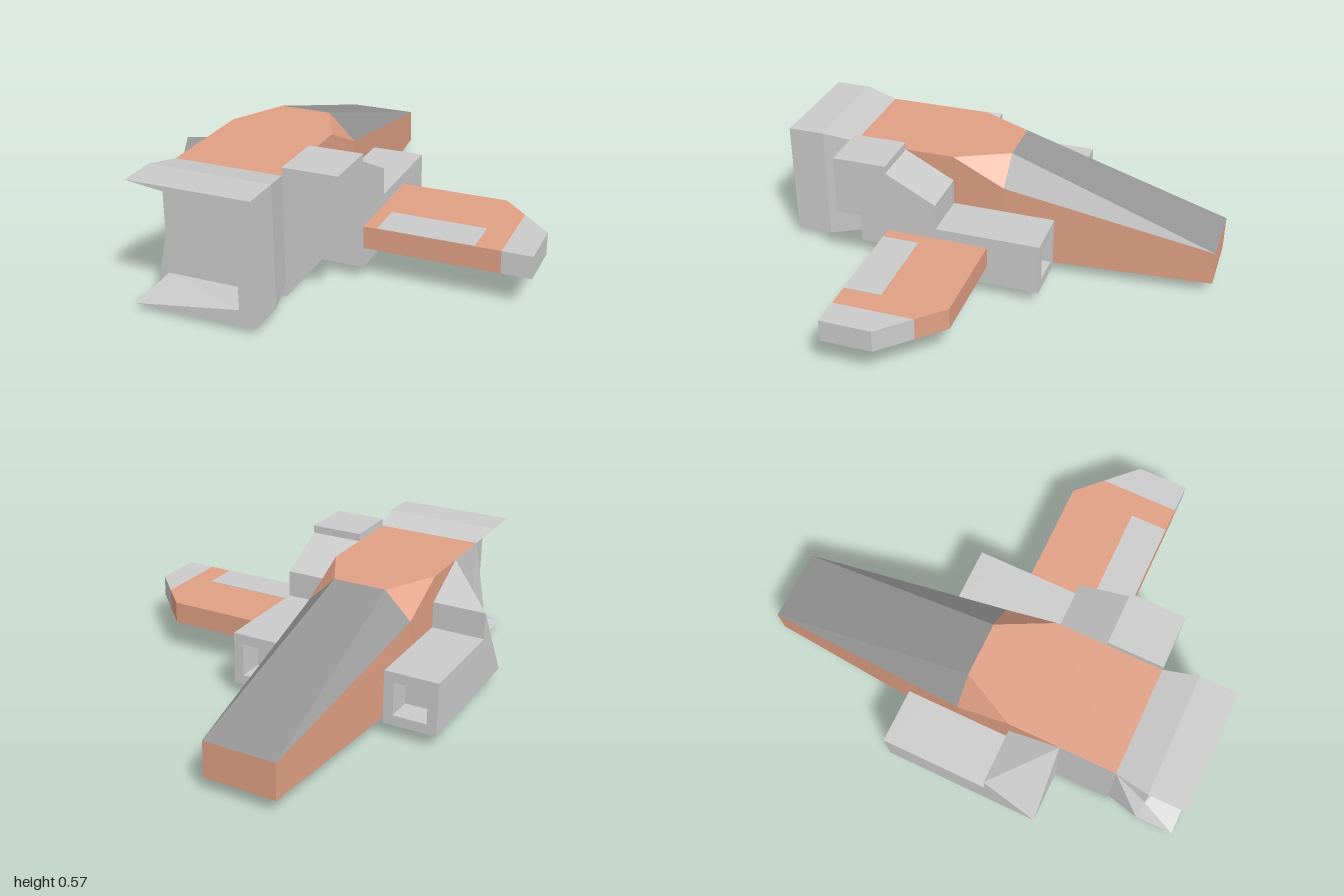
import * as THREE from 'three';

const mat = (color, side = THREE.FrontSide) => new THREE.MeshStandardMaterial({ color, side, flatShading: true });
const GREY = mat(0xcccccc), OPEN = mat(0xcccccc, THREE.DoubleSide);
const ORANGE = mat(0xe0a085), GLASS = mat(0x959595);
const HULL_X = -0.36;

// Flat mesh from convex polygons, each a loop of [x, y, z] corners
function panels(name, material, polys) {
  const pos = [];
  for (const p of polys)
    for (let i = 1; i < p.length - 1; i++) pos.push(...p[0], ...p[i], ...p[i + 1]);
  const g = new THREE.BufferGeometry();
  g.setAttribute('position', new THREE.Float32BufferAttribute(pos, 3));
  g.computeVertexNormals();
  const m = new THREE.Mesh(g, material);
  m.name = name;
  return m;
}

// Adds the mirror image (x -> -x) of every polygon
const mirrored = polys => polys.concat(polys.map(p => p.map(([x, y, z]) => [-x, y, z]).reverse()));

// Box from its two extreme corners
function box(name, material, [x0, y0, z0], [x1, y1, z1]) {
  const m = new THREE.Mesh(new THREE.BoxGeometry(x1 - x0, y1 - y0, z1 - z0), material);
  m.position.set((x0 + x1) / 2, (y0 + y1) / 2, (z0 + z1) / 2);
  m.name = name;
  return m;
}

// Side profile of [z, y] points, extruded along x from x0 to x1
function sideExtrude(name, material, pts, x0, x1) {
  const s = new THREE.Shape(pts.map(([z, y]) => new THREE.Vector2(-z, y)));
  const g = new THREE.ExtrudeGeometry(s, { depth: x1 - x0, bevelEnabled: false });
  g.rotateY(Math.PI / 2).translate(x0, 0, 0);
  const m = new THREE.Mesh(g, material);
  m.name = name;
  return m;
}

// Plan outline of [x, z] points, extruded upward from y0 to y1
function planExtrude(name, material, pts, y0, y1) {
  const s = new THREE.Shape(pts.map(([x, z]) => new THREE.Vector2(x, -z)));
  const g = new THREE.ExtrudeGeometry(s, { depth: y1 - y0, bevelEnabled: false });
  g.rotateX(-Math.PI / 2).translate(0, y0, 0);
  const m = new THREE.Mesh(g, material);
  m.name = name;
  return m;
}

// Engine pod with a square opening at its rear
function pod(name, x, frontZ) {
  const g = new THREE.Group();
  g.name = name;
  const square = (P, r) => new P([[-r, -r], [r, -r], [r, r], [-r, r]].map(p => new THREE.Vector2(...p)));
  const s = square(THREE.Shape, 0.12);
  s.holes.push(square(THREE.Path, 0.075));
  const rim = new THREE.Mesh(new THREE.ExtrudeGeometry(s, { depth: 0.12, bevelEnabled: false }), GREY);
  rim.position.set(x, 0.18, -0.28);
  rim.name = 'podRim';
  g.add(rim, box('podBody', GREY, [x - 0.12, 0.06, -0.16], [x + 0.12, 0.3, frontZ]));
  return g;
}

function hull() {
  const g = new THREE.Group();
  g.name = 'hull';
  g.position.x = HULL_X;
  g.add(panels('hullSides', ORANGE, mirrored([
    [[0.24, 0.06, 0.43], [0.24, 0.06, -0.04], [0.24, 0.42, -0.04], [0.24, 0.54, 0.2], [0.24, 0.54, 0.43]],
    [[0.24, 0.54, 0.2], [0.24, 0.42, -0.04], [0.12, 0.54, -0.04]],
    [[0.24, 0.06, -0.04], [0.16, 0.06, -1], [0.16, 0.22, -1], [0.24, 0.42, -0.04]],
  ])));
  g.add(panels('hullRoofAndNoseTip', ORANGE, [
    [[-0.24, 0.54, 0.68], [0.24, 0.54, 0.68], [0.24, 0.54, 0.2], [0.12, 0.54, -0.04], [-0.12, 0.54, -0.04], [-0.24, 0.54, 0.2]],
    [[0.16, 0.06, -1], [-0.16, 0.06, -1], [-0.16, 0.22, -1], [0.16, 0.22, -1]],
  ]));
  g.add(panels('frontSidePanels', GREY, mirrored([
    [[0.24, 0.06, 0.68], [0.24, 0.06, 0.43], [0.24, 0.54, 0.43], [0.24, 0.54, 0.68]],
  ])));
  g.add(panels('noseUnderside', GREY, [
    [[-0.24, 0.06, -0.04], [-0.16, 0.06, -1], [0.16, 0.06, -1], [0.24, 0.06, -0.04]],
  ]));
  g.add(panels('canopy', GLASS, [
    [[-0.12, 0.54, -0.04], [0.12, 0.54, -0.04], [0.16, 0.22, -1], [-0.16, 0.22, -1]],
    ...mirrored([[[0.24, 0.42, -0.04], [0.16, 0.22, -1], [0.12, 0.54, -0.04]]]),
  ]));
  g.add(sideExtrude('belly', GREY, [[0.68, 0], [0.13, 0], [-0.04, 0.06], [0.68, 0.06]], -0.24, 0.24));
  return g;
}

// Flared front intake whose right-hand wall (-x) is caved in
function intake() {
  // Corner loops: top left, bottom left, bottom right, top right
  const ring = (x0, x1, y0, y1, z) => [[x1, y1, z], [x1, y0, z], [x0, y0, z], [x0, y1, z]];
  const a = ring(-0.24, 0.24, 0.06, 0.54, 0.68);
  const b = ring(-0.27, 0.27, 0.03, 0.57, 0.83);
  const c = ring(-0.27, 0.27, 0.03, 0.57, 1);
  const f = ring(-0.21, 0.2, 0.1, 0.51, 1);
  const r = ring(-0.21, 0.2, 0.1, 0.51, 0.84);
  const polys = [r];
  // Top, outer and bottom skins
  for (const [i, j] of [[0, 1], [1, 2], [3, 0]])
    polys.push([a[i], a[j], b[j], b[i]], [b[i], b[j], c[j], c[i]]);
  // Rim and inner walls, falling back to the recess on the caved side
  polys.push(
    [c[0], c[1], f[1], f[0]], [f[0], f[1], r[1], r[0]],
    [c[3], c[0], f[0]], [c[3], f[0], r[3]], [f[0], r[0], r[3]],
    [c[1], c[2], f[1]], [c[2], r[2], f[1]], [f[1], r[2], r[1]],
  );
  // Caved wall
  polys.push(
    [b[3], c[3], r[3]], [a[3], b[3], r[3]], [a[3], r[3], r[2]],
    [a[3], r[2], b[2]], [a[3], b[2], a[2]], [b[2], r[2], c[2]],
  );
  const m = panels('intake', OPEN, polys);
  m.position.x = HULL_X;
  return m;
}

// Pod shoulder with its outer front corner cut away
function cutShoulder() {
  const o = -0.84, n = -0.6;
  const top = [o, 0.42, 0.2], foot = [o, 0.06, 0.43], heel = [o, 0.06, 0.2];
  const inTop = [n, 0.54, 0.43], inFoot = [n, 0.06, 0.43], inBack = [n, 0.42, 0.2], inHeel = [n, 0.06, 0.2];
  return panels('cutShoulder', OPEN, [
    [top, inTop, inBack], [top, heel, foot], [top, foot, inTop], [foot, inFoot, inTop],
    [top, inBack, inHeel, heel], [heel, inHeel, inFoot, foot],
  ]);
}

function wing() {
  const g = new THREE.Group();
  g.name = 'leftWing';
  g.add(planExtrude('wingPanel', ORANGE, [[0.12, 0.43], [0.71, 0.43], [0.71, 0.07], [0.6, -0.04], [0.12, -0.04]], 0.15, 0.25));
  g.add(planExtrude('wingTip', GREY, [[0.71, 0.43], [0.84, 0.43], [0.84, 0.2], [0.71, 0.07]], 0.15, 0.25));
  g.add(box('wingPatch', GREY, [0.18, 0.24, 0.26], [0.6, 0.252, 0.429]));
  return g;
}

export function createModel() {
  const model = new THREE.Group();
  model.name = 'brokenSpaceship';
  model.add(hull(), intake(), wing());
  // Intact side
  model.add(pod('leftPod', 0, 0.43));
  model.add(sideExtrude('leftShoulder', GREY, [[0.43, 0.3], [0.2, 0.3], [0.2, 0.42], [0.43, 0.54]], -0.12, 0.12));
  model.add(box('leftBlock', GREY, [-0.12, 0.3, 0.43], [0.12, 0.575, 0.68]));
  // Damaged side
  model.add(pod('rightPod', -0.72, 0.2), cutShoulder());
  return model;
}
